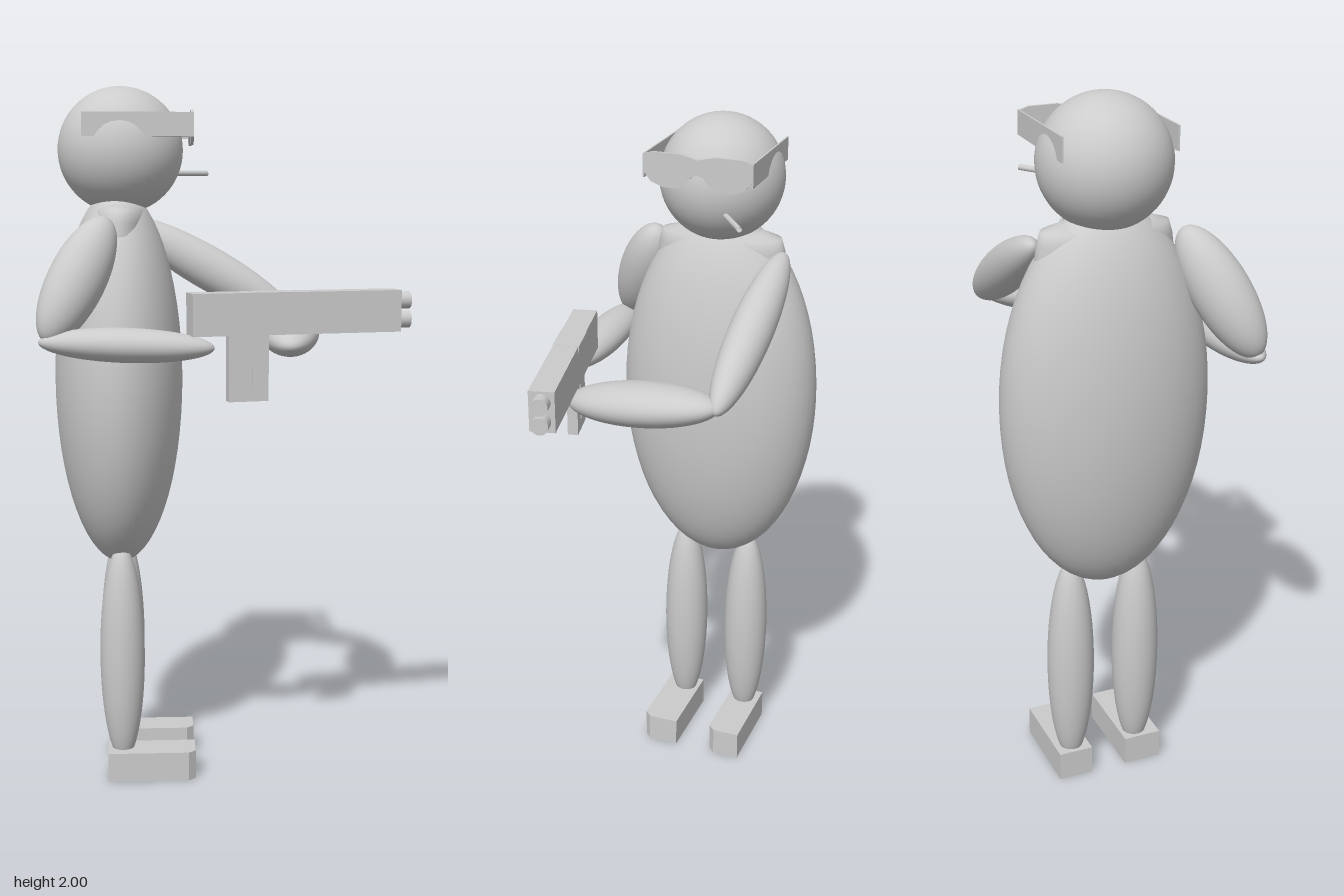
import * as THREE from 'three';

const mat = new THREE.MeshStandardMaterial({ color: 0xcccccc });
const thinMat = new THREE.MeshStandardMaterial({ color: 0xcccccc, side: THREE.DoubleSide });

function add(parent, name, geo, x = 0, y = 0, z = 0, material = mat) {
  const mesh = new THREE.Mesh(geo, material);
  mesh.name = name;
  mesh.position.set(x, y, z);
  parent.add(mesh);
  return mesh;
}

function ellipsoid(parent, name, [x, y, z], [rx, ry, rz]) {
  return add(parent, name, new THREE.SphereGeometry(1, 48, 32).scale(rx, ry, rz), x, y, z);
}

// Ellipsoid stretched between two tips, with a horizontal and an upward radius
function limb(parent, name, from, to, rSide, rUp) {
  const a = new THREE.Vector3(...from), b = new THREE.Vector3(...to);
  const dir = b.clone().sub(a);
  const half = dir.length() / 2;
  dir.normalize();
  const side = dir.clone().cross(new THREE.Vector3(0, 1, 0)).normalize();
  const up = side.clone().cross(dir);
  const mesh = ellipsoid(parent, name, a.add(b).multiplyScalar(0.5).toArray(), [rSide, half, rUp]);
  mesh.quaternion.setFromRotationMatrix(new THREE.Matrix4().makeBasis(side, dir, up));
}

// Shoe block with a chamfered toe corner on the outer side
function foot(parent, name, z, width, outer) {
  const w = width / 2;
  const pts = [[-0.336, -w], [-0.1, -w], [-0.08, -w + 0.02], [-0.08, w], [-0.12, w], [-0.336, w]];
  const shape = new THREE.Shape(pts.map(([x, s]) => new THREE.Vector2(x, s * outer)));
  const geo = new THREE.ExtrudeGeometry(shape, { depth: 0.085, bevelEnabled: false });
  geo.rotateX(-Math.PI / 2);
  add(parent, name, geo, 0, 0, z);
}

function buildGlasses(parent) {
  const glasses = new THREE.Group();
  glasses.name = 'glasses';
  // Wraparound lens outline: half listed, then mirrored
  const half = [[0, 1.918], [0.05, 1.93], [0.13, 1.93], [0.157, 1.922], [0.157, 1.875],
    [0.135, 1.848], [0.1, 1.835], [0.06, 1.835], [0.035, 1.85], [0.015, 1.872], [0, 1.876]];
  const other = half.slice(1, -1).reverse().map(([u, y]) => [-u, y]);
  const shape = new THREE.Shape([...half, ...other].map(([u, y]) => new THREE.Vector2(u, y)));
  const lens = new THREE.ExtrudeGeometry(shape, { depth: 0.008, bevelEnabled: false });
  lens.rotateY(Math.PI / 2);
  add(glasses, 'lens', lens, -0.088, 0, -0.062, thinMat);
  for (const s of [-1, 1]) {
    add(glasses, 'templeArm', new THREE.BoxGeometry(0.31, 0.066, 0.005), -0.235, 1.89, -0.062 + s * 0.156);
  }
  parent.add(glasses);
}

function buildGun(parent) {
  const gun = new THREE.Group();
  gun.name = 'gun';
  gun.position.set(0.19, 1.382, 0.22);
  gun.rotation.y = 0.222;
  add(gun, 'receiver', new THREE.BoxGeometry(0.595, 0.115, 0.07));
  // Twin barrels, one above the other
  for (const y of [-0.026, 0.027]) {
    const barrel = new THREE.CylinderGeometry(0.024, 0.024, 0.08, 24).rotateZ(Math.PI / 2);
    add(gun, 'barrel', barrel, 0.293, y, 0);
  }
  add(gun, 'ejectionCover', new THREE.BoxGeometry(0.11, 0.018, 0.074), -0.07, 0.049, 0);
  // Magazine with a rib on each side
  add(gun, 'magazine', new THREE.BoxGeometry(0.112, 0.185, 0.03), -0.135, -0.147, 0);
  add(gun, 'magazineRib', new THREE.BoxGeometry(0.008, 0.15, 0.036), -0.122, -0.13, 0);
  parent.add(gun);
}

export function createModel() {
  const model = new THREE.Group();
  model.name = 'figure';

  // Head and torso
  ellipsoid(model, 'head', [-0.285, 1.822, -0.063], [0.178, 0.178, 0.178]);
  ellipsoid(model, 'body', [-0.295, 1.172, -0.063], [0.184, 0.545, 0.294]);
  const yoke = [[0.2, 1.45], [0.196, 1.56], [0.188, 1.62], [0.178, 1.655], [0.12, 1.672], [0, 1.68]];
  const yokeGeo = new THREE.LatheGeometry(yoke.map(([r, y]) => new THREE.Vector2(r, y)), 48);
  add(model, 'shoulders', yokeGeo.scale(0.42, 1, 1), -0.29, 0, -0.063);

  // Legs and feet
  ellipsoid(model, 'rightLeg', [-0.292, 0.368, 0.037], [0.065, 0.325, 0.067]);
  ellipsoid(model, 'leftLeg', [-0.292, 0.368, -0.163], [0.065, 0.325, 0.067]);
  foot(model, 'rightFoot', 0.047, 0.11, 1);
  foot(model, 'leftFoot', -0.164, 0.1, 1);

  // Arms
  limb(model, 'leftUpperArm', [-0.275, 1.62, -0.255], [0.23, 1.33, -0.23], 0.061, 0.065);
  limb(model, 'leftForearm', [0.21, 1.34, -0.235], [0.18, 1.285, 0.215], 0.087, 0.06);
  limb(model, 'rightUpperArm', [-0.32, 1.635, 0.145], [-0.485, 1.31, 0.295], 0.075, 0.082);
  limb(model, 'rightForearm', [-0.505, 1.31, 0.293], [-0.033, 1.292, 0.293], 0.061, 0.047);

  // Glasses, cigarette and gun
  buildGlasses(model);
  limbStick(model);
  buildGun(model);
  return model;
}

// Thin cigarette pointing forward and sideways from the mouth
function limbStick(parent) {
  const path = new THREE.LineCurve3(new THREE.Vector3(-0.14, 1.757, -0.122), new THREE.Vector3(-0.033, 1.757, -0.2));
  add(parent, 'cigarette', new THREE.TubeGeometry(path, 1, 0.008, 12), 0, 0, 0, thinMat);
}
